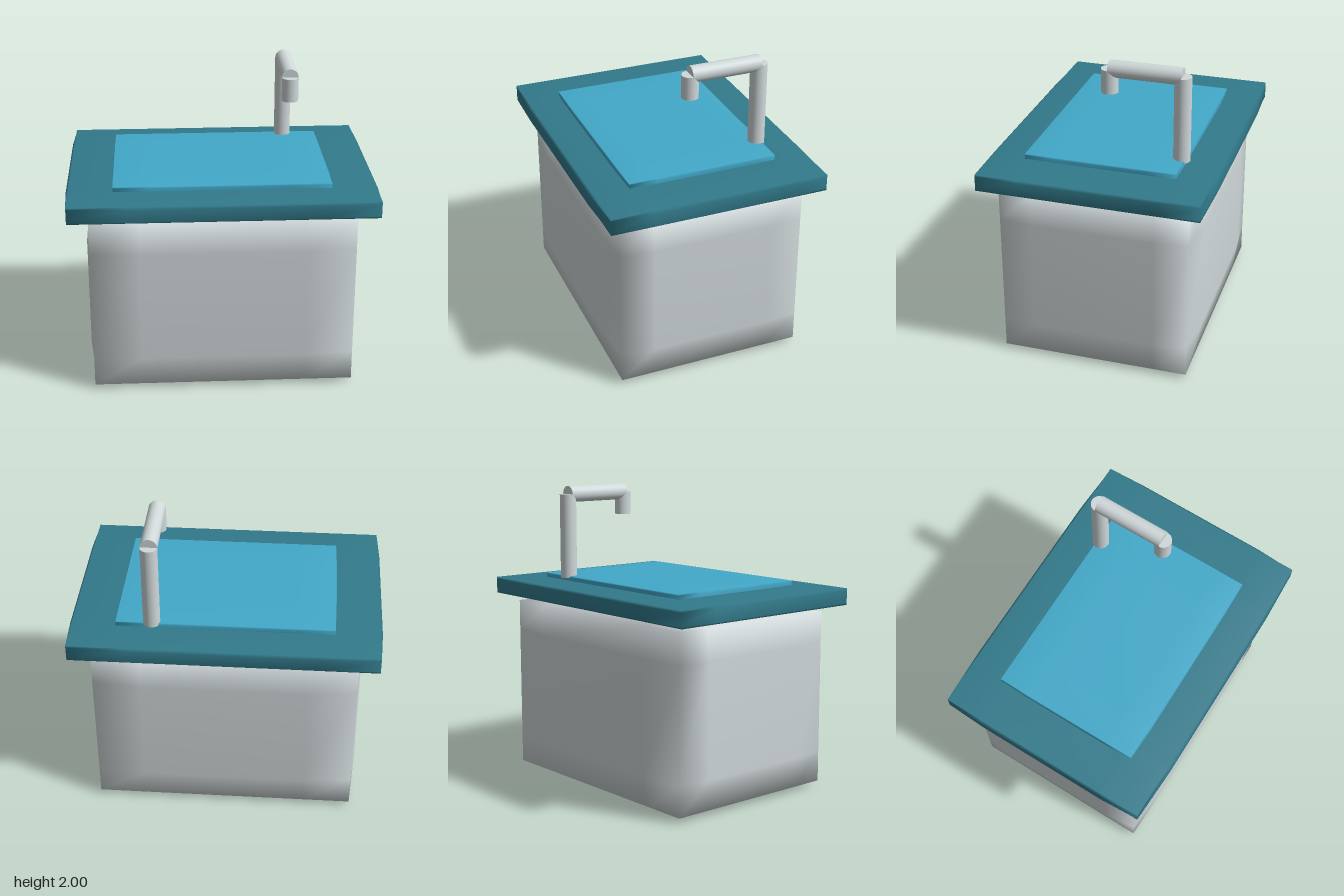
import * as THREE from 'three';
import { mergeVertices } from 'three/addons/utils/BufferGeometryUtils.js';

const mat = (name, color) => {
  const m = new THREE.MeshStandardMaterial({ color });
  m.name = name;
  return m;
};

// Smooth-shaded box whose faces swell slightly: the outer edges are pulled in,
// the inner 3x3 grid lines sit at the fractions given in `inner`.
function pillowBox(half, inner, inset) {
  const g = new THREE.BoxGeometry(2, 2, 2, 3, 3, 3);
  g.deleteAttribute('normal');
  g.deleteAttribute('uv');
  const p = g.attributes.position;
  for (let i = 0; i < p.count; i++) {
    const v = [p.getX(i), p.getY(i), p.getZ(i)];
    const outer = v.map((c) => Math.abs(c) > 0.9);
    const onEdge = outer.filter(Boolean).length > 1;
    const q = v.map((c, k) =>
      Math.sign(c) * (outer[k] ? half[k] - (onEdge ? inset[k] : 0) : inner[k]));
    p.setXYZ(i, ...q);
  }
  const merged = mergeVertices(g, 1e-4);
  merged.computeVertexNormals();
  return merged;
}

export function createModel() {
  const model = new THREE.Group();
  const grey = mat('pale grey', 0xd0d8da);
  const teal = mat('dark teal', 0x327a8b);
  const blue = mat('water blue', 0x42a9c9);

  const add = (name, geometry, material, x, y, z) => {
    const mesh = new THREE.Mesh(geometry, material);
    mesh.name = name;
    mesh.position.set(x, y, z);
    model.add(mesh);
    return mesh;
  };

  // Cabinet, worktop and basin surface
  add('cabinet', pillowBox([0.88, 0.613, 0.65], [0.54, 0.375, 0.4], [0.025, 0.033, 0.03]),
    grey, 0, 0.613, 0);
  add('worktop', pillowBox([1, 0.068, 0.735], [0.62, 0.042, 0.45], [0.014, 0.013, 0.016]),
    teal, 0, 1.297, 0);
  add('basin', pillowBox([0.705, 0.035, 0.5], [0.46, 0.021, 0.31], [0.006, 0.006, 0.006]),
    blue, 0, 1.365, 0);

  // Tap: three butted round pipes
  const r = 0.055, x = 0.47, back = -0.47, top = 1.945;
  const pipe = (length) => new THREE.CylinderGeometry(r, r, length, 32);
  add('tapPost', pipe(top - 1.38), grey, x, (top + 1.38) / 2, back);
  add('tapArm', pipe(-back), grey, x, top, back / 2).rotation.x = Math.PI / 2;
  add('tapSpout', pipe(top - 1.79), grey, x, (top + 1.79) / 2, 0);

  return model;
}
